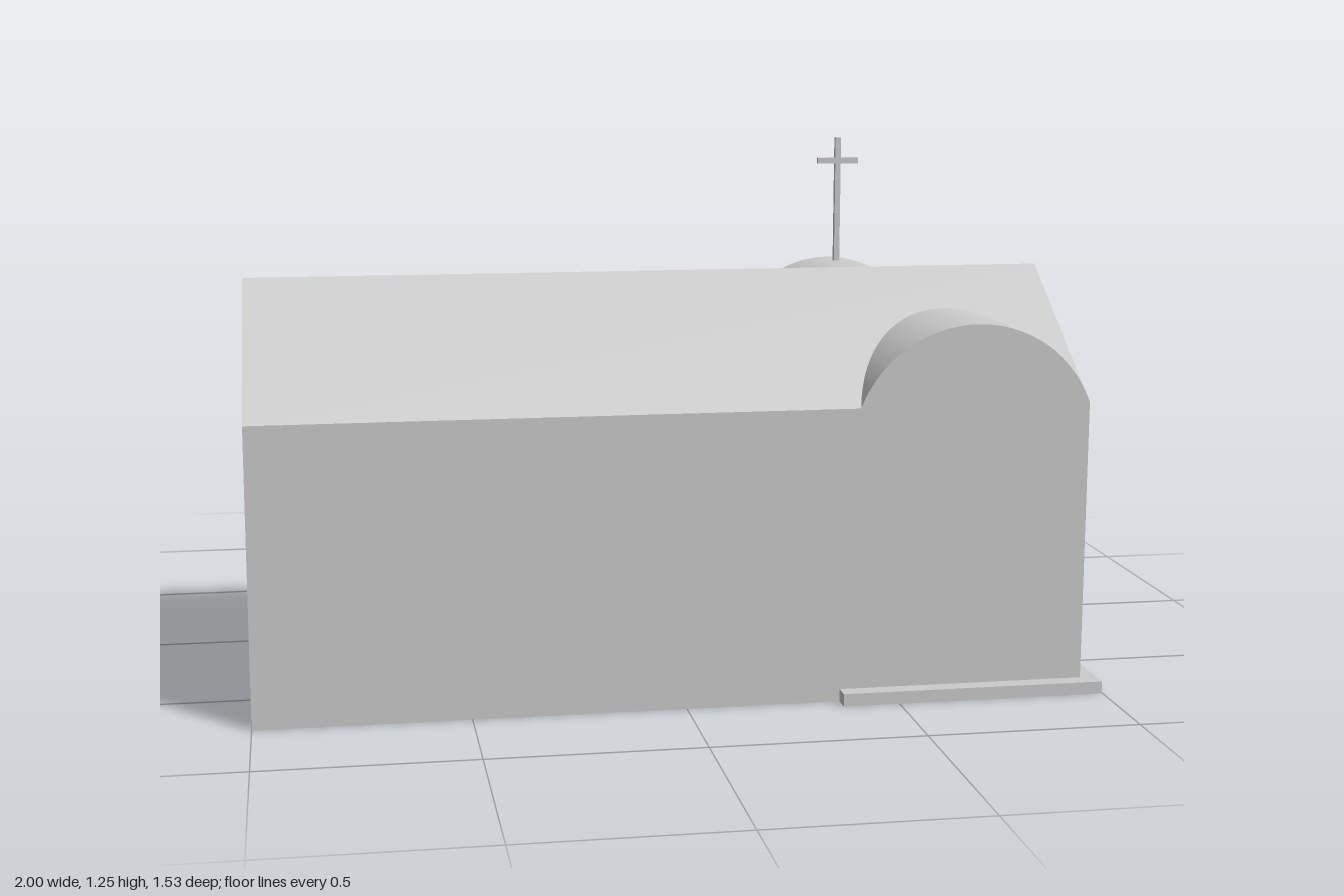
import * as THREE from 'three';
import { toCreasedNormals } from 'three/addons/utils/BufferGeometryUtils.js';

export function createModel() {
  const model = new THREE.Group();
  const mat = new THREE.MeshStandardMaterial({ color: 0xcccccc, side: THREE.DoubleSide });

  const add = (name, geo, parent = model) => {
    const mesh = new THREE.Mesh(geo, mat);
    mesh.name = name;
    parent.add(mesh);
    return mesh;
  };
  // Box given by its minimum and maximum corners
  const box = (name, x0, x1, y0, y1, z0, z1, parent) =>
    add(name, new THREE.BoxGeometry(x1 - x0, y1 - y0, z1 - z0)
      .translate((x0 + x1) / 2, (y0 + y1) / 2, (z0 + z1) / 2), parent);
  // Shape in x, y extruded from z0 to z1
  const extrude = (shape, z0, z1) => toCreasedNormals(
    new THREE.ExtrudeGeometry(shape, { depth: z1 - z0, bevelEnabled: false, curveSegments: 32 })
      .translate(0, 0, z0), 0.5);
  const polygon = (pts) => new THREE.Shape(pts.map(([x, y]) => new THREE.Vector2(x, y)));
  const rectHole = (x0, x1, y0, y1) => new THREE.Path(
    [[x0, y0], [x0, y1], [x1, y1], [x1, y0]].map(([x, y]) => new THREE.Vector2(x, y)));

  const EAVE = 0.7, RIDGE = 0.98, RIDGE_Z = 0.31;
  const BACK = -0.11, FRONT = 0.727;              // nave walls in z
  const WX0 = 0.405, WX1 = 0.957, WBACK = -0.73;  // vaulted wing
  const WX = (WX0 + WX1) / 2, BASE = 0.03;

  // ---- Nave ----
  const nave = new THREE.Group();
  nave.name = 'nave';
  model.add(nave);
  box('naveFloor', -1, WX0, 0.001, 0.006, BACK, FRONT, nave);

  const frontWall = new THREE.PlaneGeometry(WX0 + 1, EAVE);
  add('naveFrontWall', frontWall.translate((WX0 - 1) / 2, EAVE / 2, FRONT), nave);

  // Back wall with seven arched windows
  const wall = polygon([[-1, 0], [WX0, 0], [WX0, EAVE], [-1, EAVE]]);
  const r = 0.066;
  for (let i = 0; i < 7; i++) {
    const cx = 0.264 - i * 0.192;
    const hole = new THREE.Path();
    hole.moveTo(cx - r, 0.33);
    hole.lineTo(cx + r, 0.33);
    hole.lineTo(cx + r, 0.565);
    hole.absarc(cx, 0.565, r, 0, Math.PI, false);
    hole.lineTo(cx - r, 0.33);
    wall.holes.push(hole);
  }
  add('windowWall', extrude(wall, BACK, BACK + 0.02), nave);

  // Gable ends, drawn in (-z, y) and turned to face along x
  const gable = (name, x, y0) => {
    const shape = polygon([[-FRONT, y0], [-BACK, y0], [-BACK, EAVE], [-RIDGE_Z, RIDGE], [-FRONT, EAVE]]);
    add(name, new THREE.ShapeGeometry(shape).rotateY(Math.PI / 2).translate(x, 0, 0), nave);
  };
  gable('rightGable', -1, 0);
  gable('leftGable', WX1, EAVE - 0.01);

  // Two roof slopes
  for (const [name, z] of [['roofFront', FRONT], ['roofBack', BACK]]) {
    const run = z - RIDGE_Z, drop = RIDGE - EAVE;
    const slope = new THREE.PlaneGeometry(WX1 + 1, Math.hypot(run, drop));
    const angle = Math.atan2(drop, Math.abs(run));
    slope.rotateX(-Math.PI / 2 + angle);
    if (run < 0) slope.rotateY(Math.PI);
    add(name, slope.translate((WX1 - 1) / 2, (EAVE + RIDGE) / 2, (z + RIDGE_Z) / 2), nave);
  }

  // ---- Vaulted wing ----
  const wing = new THREE.Group();
  wing.name = 'wing';
  model.add(wing);
  const vaultProfile = () => {
    const half = (WX1 - WX0) / 2, rise = 0.19;
    const rad = (half * half + rise * rise) / (2 * rise);
    const cy = EAVE + rise - rad, a = Math.asin((EAVE - cy) / rad);
    const s = new THREE.Shape();
    s.moveTo(WX0, BASE);
    s.lineTo(WX1, BASE);
    s.lineTo(WX1, EAVE);
    s.absarc(WX, cy, rad, a, Math.PI - a, false);
    s.lineTo(WX0, BASE);
    return s;
  };
  add('wingBody', extrude(vaultProfile(), WBACK + 0.04, FRONT), wing);

  // Entrance wall with recessed door
  const entrance = vaultProfile();
  entrance.holes.push(rectHole(WX - 0.22, WX + 0.22, BASE + 0.002, 0.615));
  add('entranceWall', extrude(entrance, WBACK, WBACK + 0.04), wing);
  box('door', WX - 0.22, WX + 0.22, BASE, 0.615, WBACK + 0.03, WBACK + 0.04, wing);

  // Plinth ring around the wing
  const plinth = polygon([[WX0 - 0.04, -0.767], [WX1 + 0.04, -0.767], [WX1 + 0.04, 0.767], [WX0 - 0.04, 0.767]]);
  plinth.holes.push(rectHole(WX0, WX1, -FRONT, -WBACK));
  add('plinth', extrude(plinth, 0, BASE).rotateX(-Math.PI / 2), wing);

  // Roof cross
  const cross = new THREE.Group();
  cross.name = 'roofCross';
  model.add(cross);
  box('crossPost', 0.677, 0.693, 0.87, 1.247, -0.638, -0.622, cross);
  box('crossBar', 0.626, 0.744, 1.172, 1.189, -0.637, -0.623, cross);

  return model;
}
